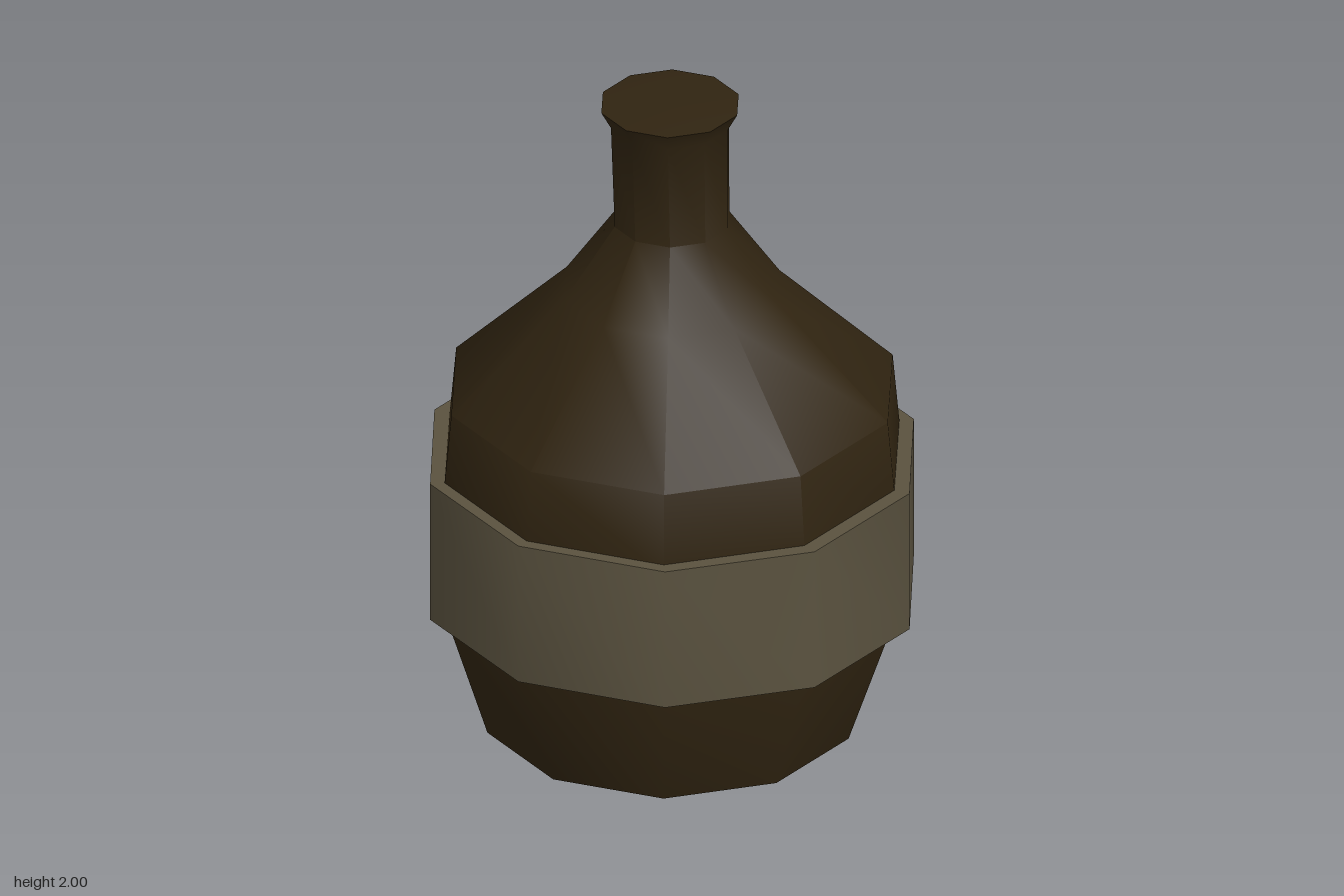
import * as THREE from 'three';
import { toCreasedNormals } from 'three/addons/utils/BufferGeometryUtils.js';

const SIDES = 10;
const CREASE = 0.85;

// Ten-sided turned form with a corner on the x axis; profile is [radius, y]
function turned(profile) {
  const points = profile.map(([r, y]) => new THREE.Vector2(r, y));
  return new THREE.LatheGeometry(points, SIDES, Math.PI / 2);
}

function part(name, geometry, material) {
  const mesh = new THREE.Mesh(toCreasedNormals(geometry, CREASE), material);
  mesh.name = name;
  return mesh;
}

export function createModel() {
  const model = new THREE.Group();
  model.name = 'bottle';

  const brownGlass = new THREE.MeshStandardMaterial({ color: 0x302411 });
  brownGlass.name = 'dark brown glass';
  const labelPaper = new THREE.MeshStandardMaterial({ color: 0x5a523f });
  labelPaper.name = 'grey beige label';

  // Bottle: pointed base, round belly, sloping shoulder, neck and flared lip
  const bottle = turned([
    [0, 0.005], [0.532, 0.055], [0.662, 0.45], [0.665, 0.84], [0.643, 1.08],
    [0.313, 1.4], [0.167, 1.61], [0.172, 1.93], [0.2, 1.982], [0, 2],
  ]);

  // Slight hand-made lean of the lip and base
  const pos = bottle.attributes.position;
  for (let i = 0; i < pos.count; i++) {
    const y = pos.getY(i);
    if (y > 1.8 || y < 0.1) pos.setX(i, pos.getX(i) - 0.009);
  }
  model.add(part('bottleBody', bottle, brownGlass));

  // Label: thick band around the belly
  const band = turned([
    [0.645, 0.435], [0.7, 0.435], [0.7, 0.868], [0.645, 0.868],
  ]);
  band.scale(1, 1, 1.014);
  model.add(part('labelBand', band, labelPaper));

  return model;
}
